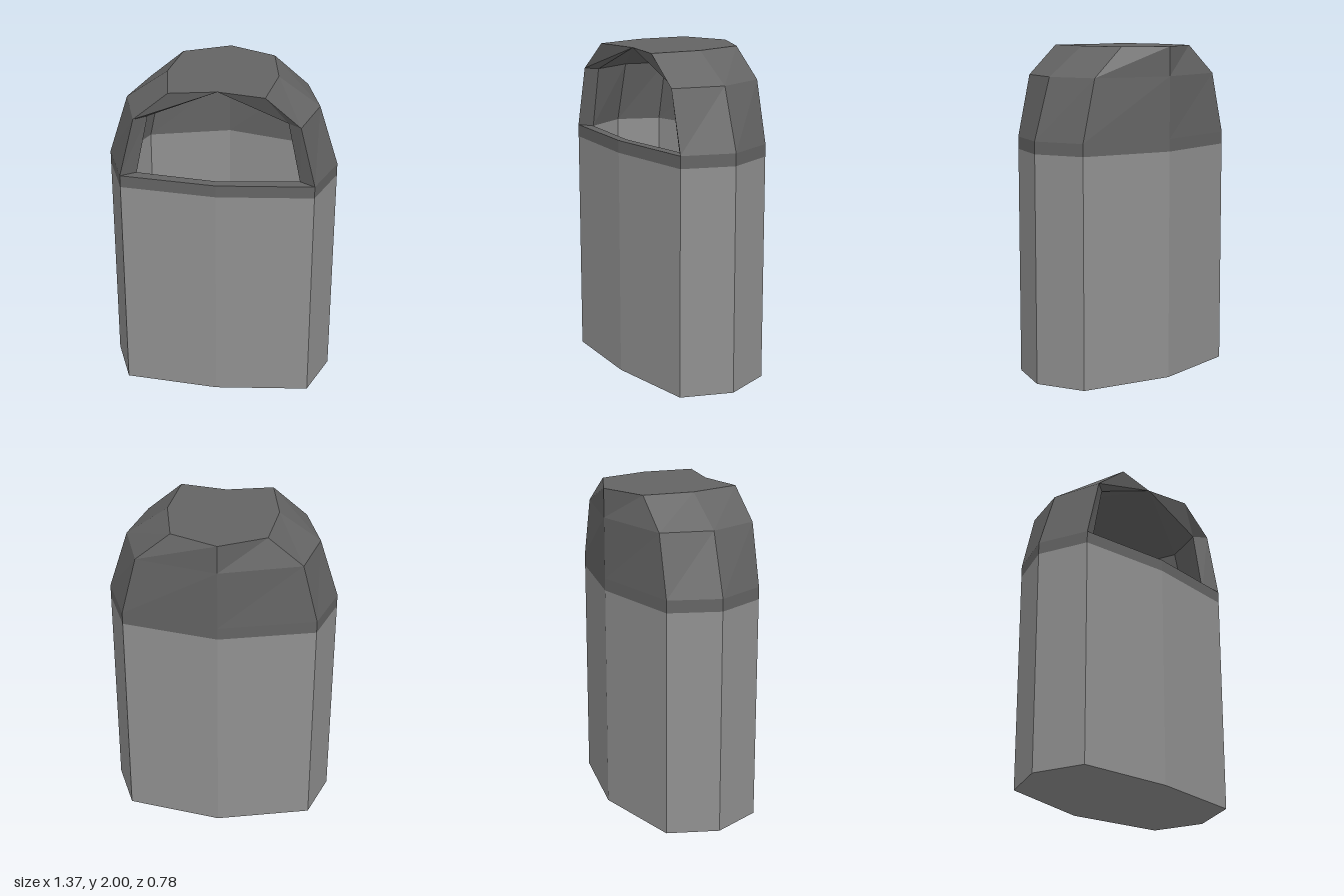
import * as THREE from 'three';

// Half outlines as [x, z], from the front corner round the side to the back corner
const OUTER = [[0.57, 0.335], [0.685, 0.03], [0.57, -0.27]];
const OUTER_MID = [[0.48, 0.335], [0.57, 0.03], [0.48, -0.27]];
const OUTER_TOP = [[0.275, 0.335], [0.325, 0.03], [0.275, -0.27]];
const INNER = [[0.48, 0.28], [0.59, 0.03], [0.48, -0.215]];
const INNER_MID = [[0.405, 0.28], [0.49, 0.03], [0.405, -0.215]];

// Mirrored ring at height y; a front point closes it, otherwise it stays open
function ring(half, y, back, front) {
  const pts = half.map(([x, z]) => [x, y, z]);
  pts.push([0, y, back]);
  for (const [x, z] of [...half].reverse()) pts.push([-x, y, z]);
  if (front !== undefined) pts.push([0, y, front]);
  return pts;
}

// Wall of quads between two rings
function wall(low, high, closed, inward = false) {
  const faces = [];
  const n = low.length;
  for (let i = 0; i < (closed ? n : n - 1); i++) {
    const j = (i + 1) % n;
    const quad = [low[i], low[j], high[j], high[i]];
    faces.push(inward ? quad.reverse() : quad);
  }
  return faces;
}

// Triangles from one point to each ring edge
function fan(centre, pts, closed, down = false) {
  const faces = [];
  for (let i = 0; i < (closed ? pts.length : pts.length - 1); i++) {
    const j = (i + 1) % pts.length;
    faces.push(down ? [centre, pts[j], pts[i]] : [centre, pts[i], pts[j]]);
  }
  return faces;
}

// Adds the mirror image of each face, with its corners reversed
function mirrored(faces) {
  return faces.concat(faces.map(f => f.map(([x, y, z]) => [-x, y, z]).reverse()));
}

function makeMesh(name, faces, material) {
  const positions = [];
  for (const f of faces) {
    for (let i = 1; i < f.length - 1; i++) positions.push(...f[0], ...f[i], ...f[i + 1]);
  }
  const geometry = new THREE.BufferGeometry();
  geometry.setAttribute('position', new THREE.Float32BufferAttribute(positions, 3));
  geometry.computeVertexNormals();
  const mesh = new THREE.Mesh(geometry, material);
  mesh.name = name;
  return mesh;
}

export function createModel() {
  const lightGrey = new THREE.MeshStandardMaterial({ color: 0x909090 });
  lightGrey.name = 'light grey';
  const darkGrey = new THREE.MeshStandardMaterial({ color: 0x646464 });
  darkGrey.name = 'dark grey';

  const SEAM = 1.38, RIM = 1.455, SHOULDER = 1.825, TOP = 2, FLOOR = 0.06;
  const group = new THREE.Group();
  group.name = 'bin';

  // Container: outside, underside, lining and inner floor
  const base = ring(OUTER, 0, -0.39, 0.39);
  const seam = ring(OUTER, SEAM, -0.39, 0.39);
  const floor = ring(INNER, FLOOR, -0.335, 0.335);
  const innerRim = ring(INNER, RIM, -0.335, 0.335);
  group.add(makeMesh('body', [
    ...wall(base, seam, true),
    ...fan([0, 0, 0], base, true, true),
  ], lightGrey));
  group.add(makeMesh('lining', [
    ...wall(floor, innerRim, true, true),
    ...fan([0, FLOOR, 0], floor, true),
  ], lightGrey));

  // Collar below the lid, and the front lip of the opening
  const outerRim = ring(OUTER, RIM, -0.39, 0.39);
  group.add(makeMesh('collar', wall(seam, outerRim, true), darkGrey));
  group.add(makeMesh('frontLip', mirrored([
    [[0, RIM, 0.335], [0, RIM, 0.39], [0.57, RIM, 0.335], [0.48, RIM, 0.28]],
  ]), darkGrey));

  // Hood: sloping sides and a flat roof with a shallow notch at the front
  const hoodLow = ring(OUTER, RIM, -0.39);
  const hoodMid = ring(OUTER_MID, SHOULDER, -0.39);
  const hoodTop = ring(OUTER_TOP, TOP, -0.39);
  const notch = [0, TOP, 0.285];
  group.add(makeMesh('hood', [
    ...wall(hoodLow, hoodMid, false),
    ...wall(hoodMid, hoodTop, false),
    ...fan(notch, hoodTop, false),
  ], darkGrey));

  // Inside of the hood, with a ceiling rising to the notch
  const innerLow = ring(INNER, RIM, -0.335);
  const innerMid = ring(INNER_MID, SHOULDER, -0.335);
  group.add(makeMesh('hoodInside', [
    ...wall(innerLow, innerMid, false, true),
    ...fan(notch, innerMid, false, true),
  ], darkGrey));

  // Bevelled frame joining the hood's outer and inner edges
  group.add(makeMesh('openingFrame', mirrored([
    [innerLow[0], hoodLow[0], hoodMid[0], innerMid[0]],
    [innerMid[0], hoodMid[0], hoodTop[0], notch],
  ]), darkGrey));

  return group;
}
